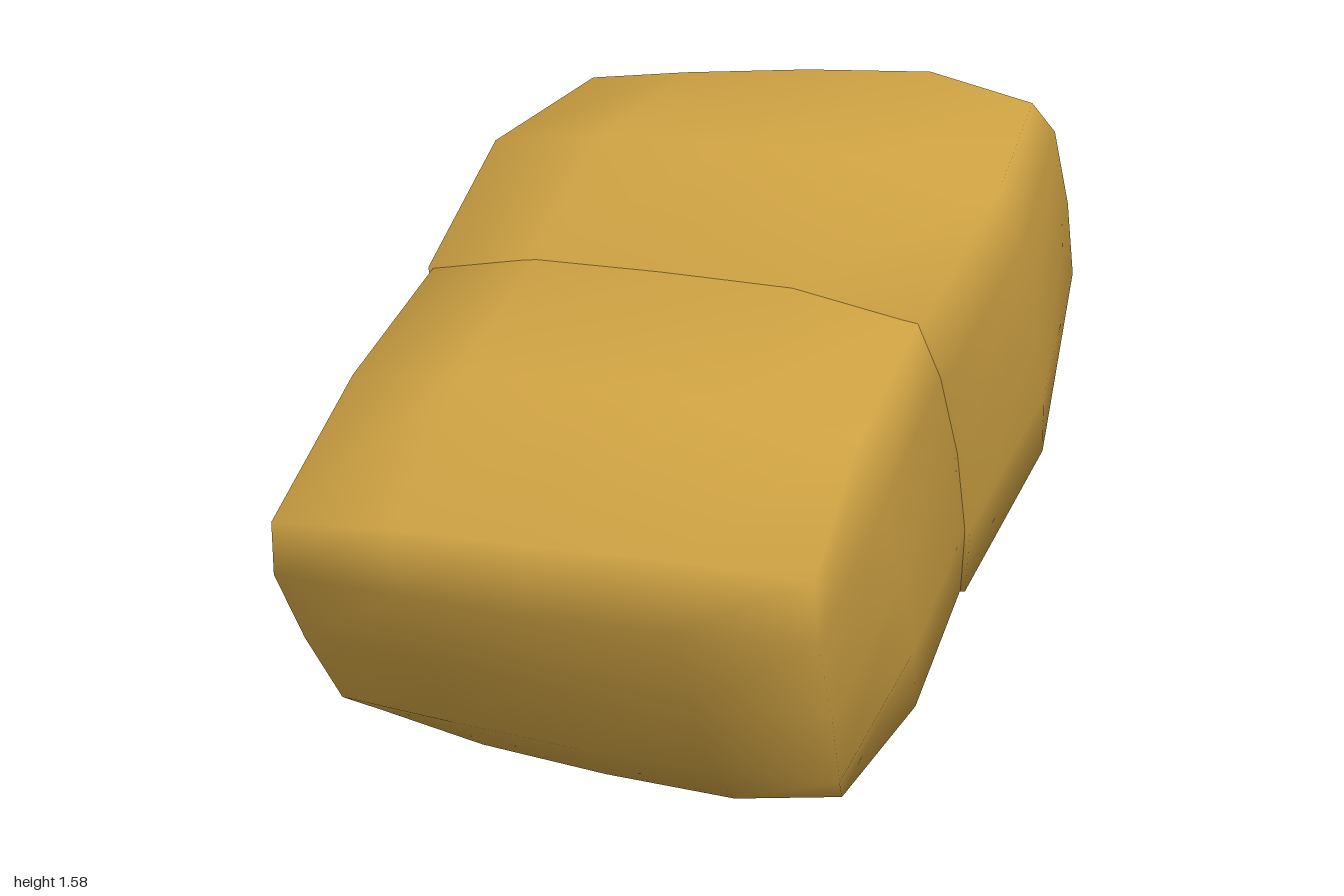
import * as THREE from 'three';
import { mergeVertices } from 'three/addons/utils/BufferGeometryUtils.js';

const TILT = 0.472; // the pair leans up towards the back

// Soft block: a subdivided box with bulging sides and a tapered outer end.
// p, q, r run from -1 to 1 across, up and towards the outer end.
function softBlock({ dir, inner, outer, width, height, lift, taperX, innerX, taperY, innerY, skew, flare, sagTop, sagBottom, lean, bow }) {
  let geo = new THREE.BoxGeometry(2, 2, 2, 4, 4, 2);
  geo.deleteAttribute('uv');
  geo.deleteAttribute('normal');
  geo = mergeVertices(geo);
  const pos = geo.attributes.position;
  const half = (outer - inner) / 2, mid = (outer + inner) / 2;
  for (let i = 0; i < pos.count; i++) {
    const p = pos.getX(i), q = pos.getY(i), r = -pos.getZ(i) * dir;
    const out = r > 0 ? 1 : 0, inn = r < 0 ? 1 : 0;
    const top = (1 + q) / 2, bottom = (1 - q) / 2;
    const x = width * p * (1 - p * p * (0.05 * q * q + taperX * out + innerX * inn - flare * q * out));
    // uneven sag of the outer edge from one side to the other
    const sag = (0.087 * p - 0.067 * p ** 3 - 0.028) * out * (sagTop * top + sagBottom * bottom);
    const y = lift + sag + height * q * (1 - q * q * ((0.12 - 0.03 * r) * p ** 4 + taperY * out + innerY * inn));
    // the outer end swells in the middle, the inner end is nearly flat
    const a = mid + half * r
      - out * (0.03 * p * p + 0.07 * q ** 4 - 0.02 * q)
      + inn * (lean * q + bow * p * p * (1 - q * q));
    pos.setXYZ(i, x, y, -dir * a - skew * p * out * top);
  }
  geo.rotateX(TILT);
  geo.computeVertexNormals();
  return geo;
}

export function createModel() {
  const gold = new THREE.MeshStandardMaterial({ color: 0xcca042 });
  gold.name = 'gold';
  const group = new THREE.Group();
  group.name = 'softBlockPair';

  // Lower block, facing the front
  const front = new THREE.Mesh(softBlock({
    dir: -1, inner: -0.03, outer: 0.965, width: 0.703, height: 0.512, lift: -0.018,
    taperX: 0.02, innerX: 0.015, taperY: 0.17, innerY: 0.02,
    skew: 0.034, flare: 0.045, sagTop: 0, sagBottom: -0.5, lean: 0, bow: 0,
  }), gold);
  front.name = 'frontBlock';

  // Upper block, towards the back
  const back = new THREE.Mesh(softBlock({
    dir: 1, inner: -0.055, outer: 1.0, width: 0.742, height: 0.508, lift: -0.02,
    taperX: 0.09, innerX: 0.045, taperY: 0.175, innerY: 0,
    skew: 0, flare: 0, sagTop: 1, sagBottom: 0, lean: 0.025, bow: 0.035,
  }), gold);
  back.name = 'backBlock';
  group.add(front, back);

  // Stand on the ground, centred
  const box = new THREE.Box3().setFromObject(group);
  const c = box.getCenter(new THREE.Vector3());
  for (const m of group.children) m.geometry.translate(-c.x, -box.min.y, -c.z);
  return group;
}
